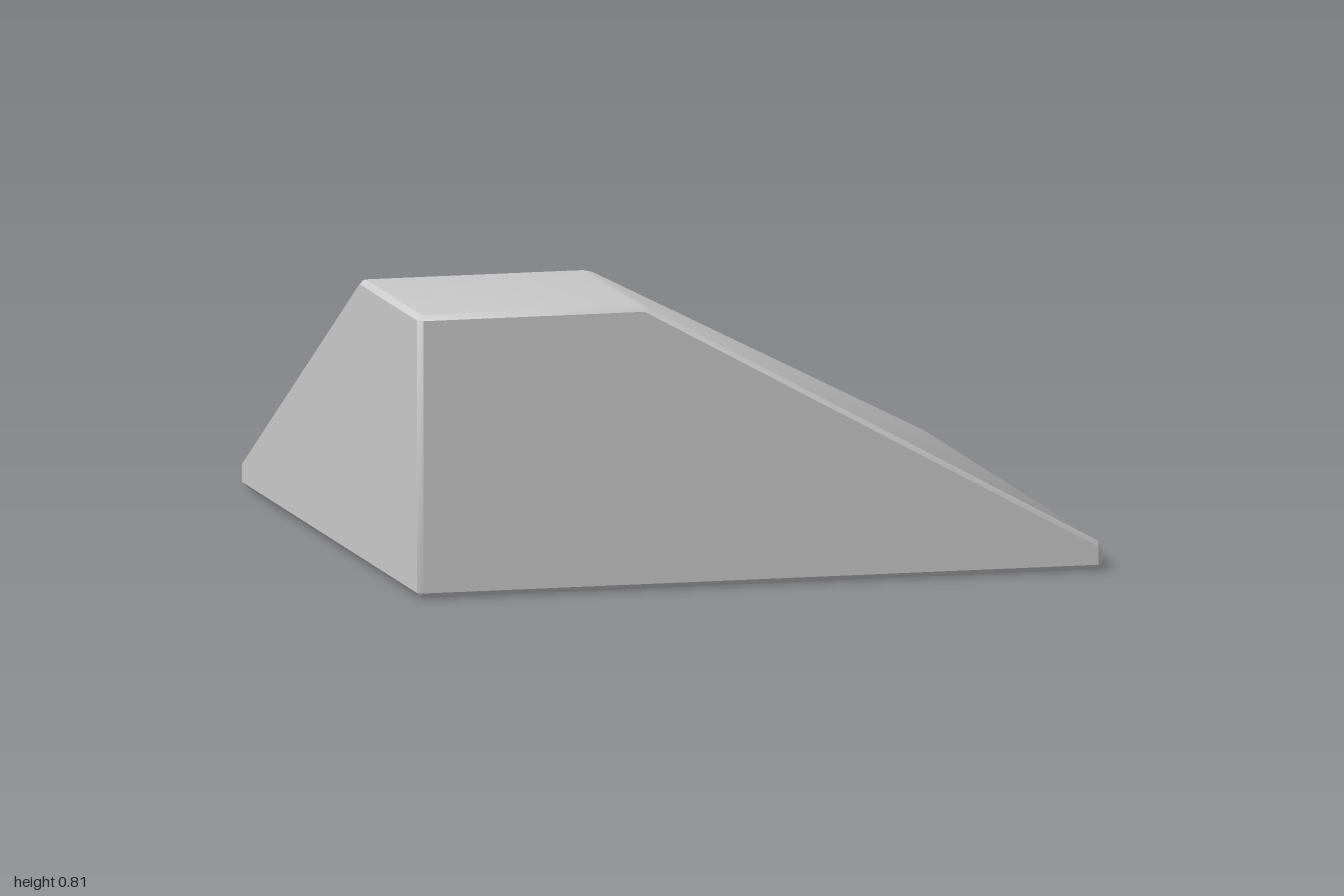
import * as THREE from 'three';
import { toCreasedNormals } from 'three/addons/utils/BufferGeometryUtils.js';
import { ConvexGeometry } from 'three/addons/geometries/ConvexGeometry.js';

const HEIGHT = 0.81; // plateau height
const LIP = 0.075;   // height of the low walls
const EDGE = 0.335;  // where the plateau ends
const BEVEL = 0.015;

// Shrink a convex planar polygon inwards by the bevel width.
function inset(polygon) {
  return polygon.map((p, i) => {
    const n = polygon.length;
    const u = polygon[(i + n - 1) % n].clone().sub(p).normalize();
    const v = polygon[(i + 1) % n].clone().sub(p).normalize();
    const sine = Math.sin(u.angleTo(v));
    return p.clone().add(u.add(v).multiplyScalar(BEVEL / sine));
  });
}

export function createModel() {
  const concrete = new THREE.MeshStandardMaterial({ color: 0xcccccc });
  concrete.name = 'light grey';

  // Corners of the hipped ramp
  const P = (x, y, z) => new THREE.Vector3(x, y, z);
  const floor = [P(-1, 0, 1), P(1, 0, 1), P(1, 0, -1), P(-1, 0, -1)];
  const lip = [P(1, LIP, 1), P(1, LIP, -1), P(-1, LIP, -1)];
  const top = [P(-1, HEIGHT, 1), P(-EDGE, HEIGHT, 1), P(-EDGE, HEIGHT, EDGE), P(-1, HEIGHT, EDGE)];

  const faces = [
    floor,
    top,
    [floor[0], floor[1], lip[0], top[1], top[0]], // front wall
    [floor[0], floor[3], lip[2], top[3], top[0]], // tall side wall
    [floor[1], floor[2], lip[1], lip[0]],         // low side wall
    [floor[2], floor[3], lip[2], lip[1]],         // low back wall
    [top[1], lip[0], lip[1], top[2]],             // side slope
    [top[2], lip[1], lip[2], top[3]],             // back slope
  ];

  // The hull around the shrunken faces has a bevel along every edge.
  const hull = new ConvexGeometry(faces.flatMap(inset));
  const ramp = new THREE.Mesh(toCreasedNormals(hull, 0.65), concrete);
  ramp.name = 'cornerRamp';

  const group = new THREE.Group();
  group.name = 'rampCorner';
  group.add(ramp);
  return group;
}
